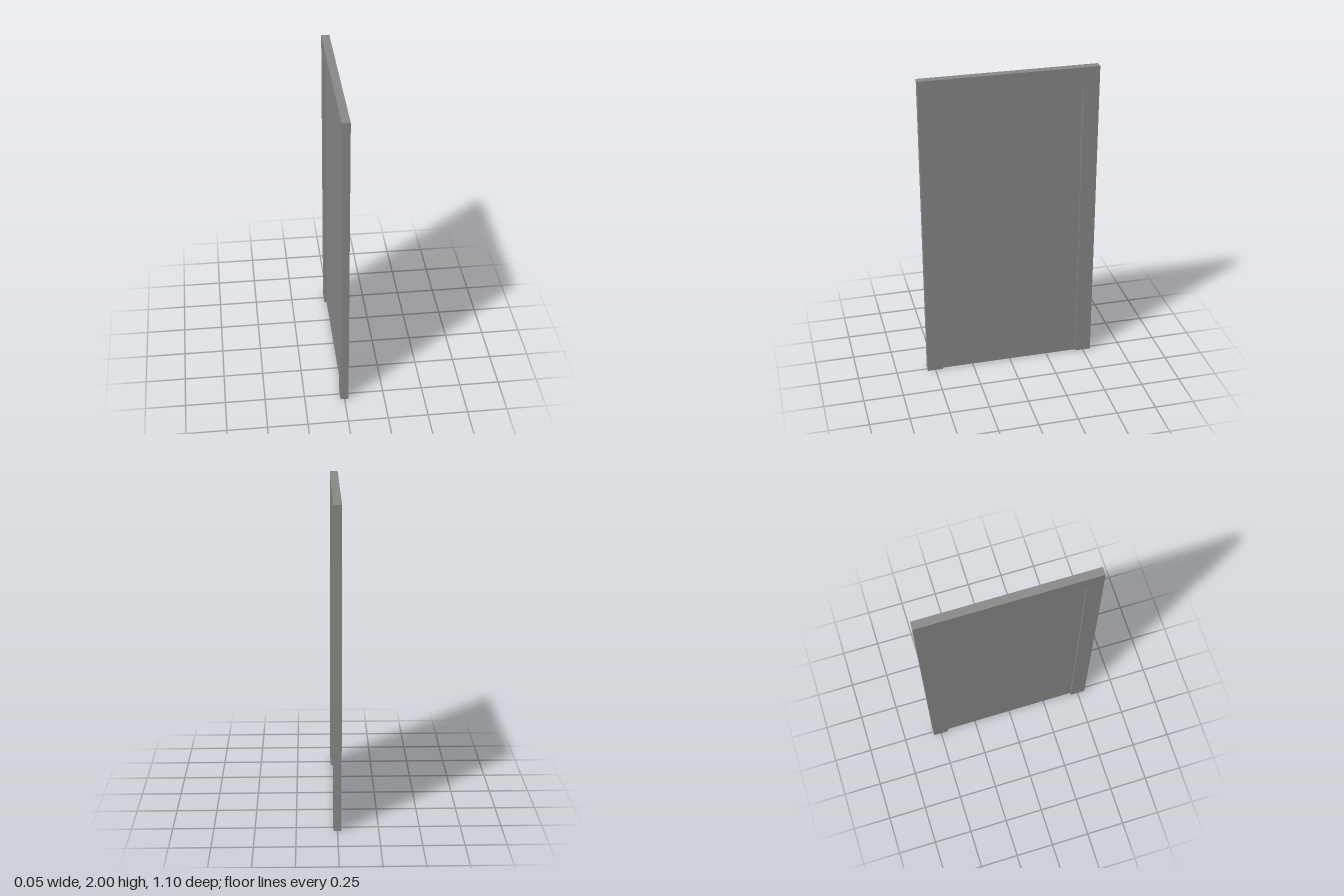
import * as THREE from 'three';

const material = new THREE.MeshStandardMaterial({ color: 0x888888 });

// Overall frame and opening dimensions
const HEIGHT = 2, HALF_WIDTH = 0.55, DEPTH = 0.05;
const OPEN_HEIGHT = 1.9, OPEN_HALF = 0.45;
const LEAF_DEPTH = 0.02;

export function createModel() {
  const model = new THREE.Group();
  model.name = 'door';

  // Frame: two jambs joined by a head, cut as one arch
  const outline = new THREE.Shape([
    [-HALF_WIDTH, 0], [-OPEN_HALF, 0], [-OPEN_HALF, OPEN_HEIGHT], [OPEN_HALF, OPEN_HEIGHT],
    [OPEN_HALF, 0], [HALF_WIDTH, 0], [HALF_WIDTH, HEIGHT], [-HALF_WIDTH, HEIGHT],
  ].map(([x, y]) => new THREE.Vector2(x, y)));
  const frameGeometry = new THREE.ExtrudeGeometry(outline, { depth: DEPTH, bevelEnabled: false });
  frameGeometry.translate(0, 0, -DEPTH / 2).rotateY(Math.PI / 2);
  const frame = new THREE.Mesh(frameGeometry, material);
  frame.name = 'doorFrame';
  model.add(frame);

  // Door leaf, recessed equally on both faces
  const leaf = new THREE.Mesh(new THREE.BoxGeometry(LEAF_DEPTH, OPEN_HEIGHT, OPEN_HALF * 2), material);
  leaf.name = 'doorLeaf';
  leaf.position.y = OPEN_HEIGHT / 2;
  model.add(leaf);

  return model;
}
